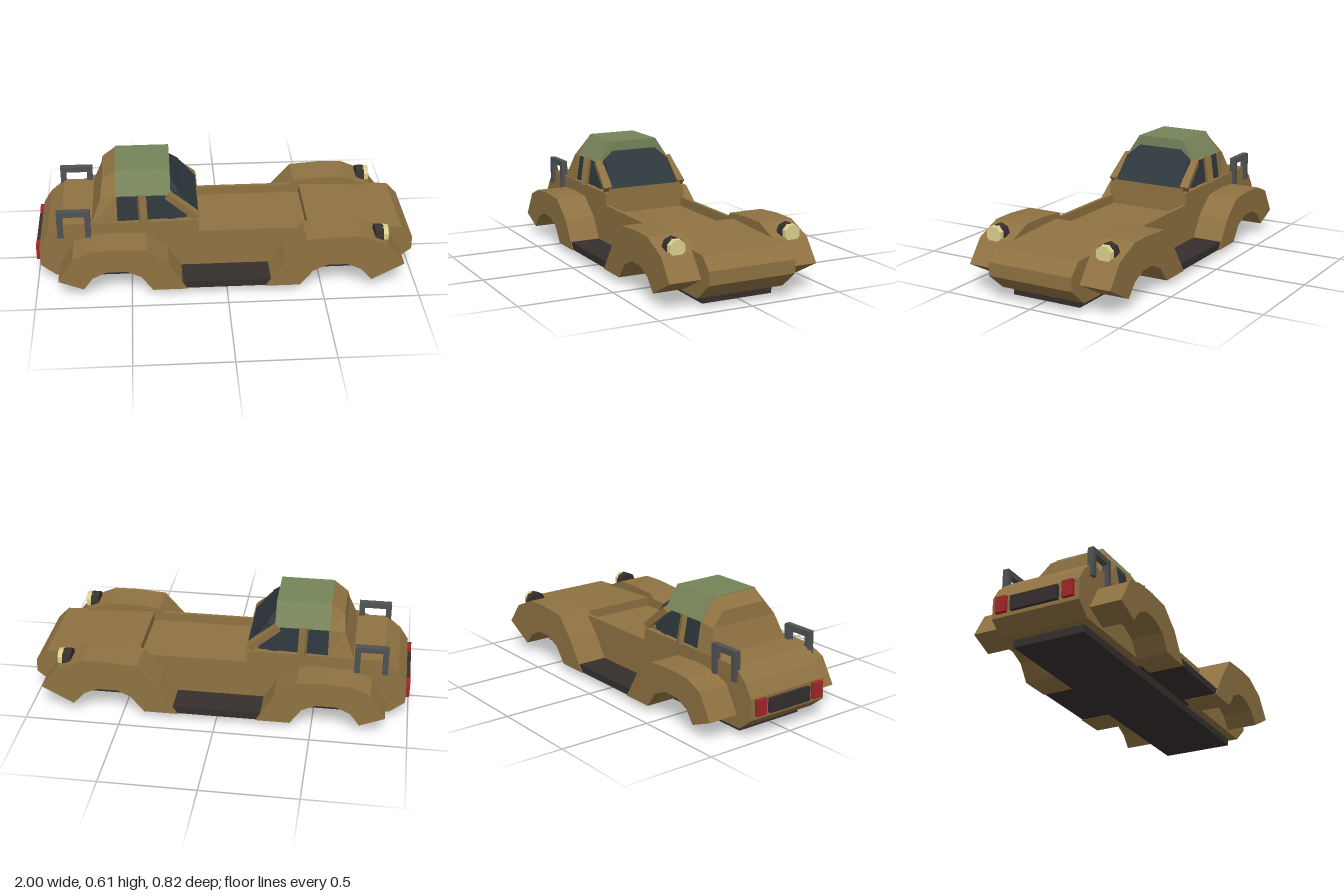
import * as THREE from 'three';

const mat = (color) => new THREE.MeshStandardMaterial({ color, flatShading: true });
const paint = mat(0x8f7242), green = mat(0x76845a), glass = mat(0x2e383d);
const dark = mat(0x352f2e), grey = mat(0x505152), red = mat(0xa3262a), cream = mat(0xdcd08e);

export function createModel() {
  const car = new THREE.Group();
  car.name = 'car';

  const add = (name, geometry, material) => {
    const mesh = new THREE.Mesh(geometry, material);
    mesh.name = name;
    car.add(mesh);
    return mesh;
  };

  // Box given by its limits on each axis
  const box = (name, [x0, x1], [y0, y1], [z0, z1], material) => add(name,
    new THREE.BoxGeometry(x1 - x0, y1 - y0, z1 - z0)
      .translate((x0 + x1) / 2, (y0 + y1) / 2, (z0 + z1) / 2), material);

  // Side profile extruded across the car from z0 to z1
  const slab = (name, profile, z0, z1, material) => {
    const shape = new THREE.Shape(profile.map(([x, y]) => new THREE.Vector2(x, y)));
    const g = new THREE.ExtrudeGeometry(shape, { depth: z1 - z0, bevelEnabled: false });
    return add(name, g.translate(0, 0, z0), material);
  };

  // Mirrored solid between a rear and a front half section, points [x, y, half width] from bottom to top
  const loft = (name, rear, front, material) => {
    const ring = (s) => [...s, ...s.slice().reverse().map(([x, y, z]) => [x, y, -z])];
    const a = ring(rear), b = ring(front), n = a.length, pos = [];
    const quad = (p, q, r, s) => pos.push(...p, ...q, ...r, ...p, ...r, ...s);
    for (let i = 0; i < n; i++) {
      const j = (i + 1) % n;
      quad(a[i], b[i], b[j], a[j]);
    }
    for (let i = 0; i < rear.length - 1; i++) {
      const k = n - 1 - i;
      quad(a[i], a[i + 1], a[k - 1], a[k]);
      quad(b[k], b[k - 1], b[i + 1], b[i]);
    }
    const g = new THREE.BufferGeometry();
    g.setAttribute('position', new THREE.Float32BufferAttribute(pos, 3));
    g.computeVertexNormals();
    return add(name, g, material);
  };

  // Straight bar between two points, with a rectangular section
  const bar = (name, from, to, w, d, material) => {
    const a = new THREE.Vector3(...from), b = new THREE.Vector3(...to);
    const mesh = add(name, new THREE.BoxGeometry(w, a.distanceTo(b), d), material);
    mesh.position.copy(a).lerp(b, 0.5);
    mesh.quaternion.setFromUnitVectors(new THREE.Vector3(0, 1, 0), b.sub(a).normalize());
  };

  // Body: core with a sunken deck, and side walls that form its rim
  const bodyProfile = (deck) => [
    [-0.9, 0.04], [0.89, 0.04], [1, 0.13], [1, 0.2], [0.94, 0.262], [0.44, 0.285], [0.44, deck],
    [-0.14, deck], [-0.14, 0.35], [-0.86, 0.35], [-0.935, 0.285], [-0.98, 0.215], [-0.98, 0.105],
  ];
  slab('body', bodyProfile(0.235), -0.22, 0.22, paint);
  for (const [z0, z1] of [[0.22, 0.24], [-0.24, -0.22]]) {
    slab('bodySide', bodyProfile(0.284), z0, z1, paint);
  }
  box('chassisPlate', [-0.85, 0.86], [0, 0.042], [-0.195, 0.195], dark);

  // Fenders with faceted wheel arches
  const rearFender = [
    [-0.88, 0.105], [-0.75, 0.053], [-0.7, 0.12], [-0.62, 0.156], [-0.53, 0.156], [-0.45, 0.12],
    [-0.39, 0.035], [-0.21, 0.035], [-0.305, 0.19], [-0.42, 0.28], [-0.56, 0.288], [-0.7, 0.28], [-0.8, 0.24],
  ];
  const frontFender = [
    [0.2, 0.035], [0.38, 0.035], [0.45, 0.12], [0.53, 0.156], [0.62, 0.156], [0.7, 0.12], [0.76, 0.053],
    [0.93, 0.143], [0.84, 0.26], [0.7, 0.32], [0.57, 0.322], [0.41, 0.31], [0.305, 0.19],
  ];

  for (const s of [1, -1]) {
    const span = (a, b) => (s > 0 ? [a, b] : [-b, -a]);
    slab('rearFender', rearFender, ...span(0.22, 0.41), paint);
    slab('frontFender', frontFender, ...span(0.22, 0.41), paint);
    box('runningBoard', [-0.3, 0.28], [0.037, 0.076], span(0.2, 0.405), dark);

    // Window posts
    bar('windshieldPost', [-0.3, 0.49, s * 0.208], [-0.15, 0.367, s * 0.222], 0.035, 0.045, paint);
    bar('doorPost', [-0.435, 0.495, s * 0.212], [-0.43, 0.345, s * 0.235], 0.04, 0.025, paint);

    // Grab frame beside the tail
    for (const x of [-0.88, -0.735]) box('grabFramePost', [x, x + 0.03], [0.275, 0.43], span(0.225, 0.258), grey);
    box('grabFrameRail', [-0.85, -0.735], [0.4, 0.43], span(0.225, 0.258), grey);

    // Headlight pod and lens
    const pod = add('headlightPod', new THREE.CylinderGeometry(0.052, 0.052, 0.045, 8), dark);
    pod.rotation.z = -Math.PI / 2;
    pod.position.set(0.797, 0.282, s * 0.322);
    const lens = add('headlightLens', new THREE.CylinderGeometry(0.045, 0.047, 0.03, 8), cream);
    lens.rotation.set(Math.PI / 8, 0, -Math.PI / 2);
    lens.position.set(0.83, 0.285, s * 0.322);

    box('tailLight', [-1, -0.975], [0.125, 0.21], span(0.155, 0.215), red);
  }
  box('tailPanel', [-1, -0.975], [0.125, 0.2], [-0.13, 0.13], dark);

  // Cab: rear shell, roof and glazing
  loft('cabRear',
    [[-0.7, 0.345, 0.235], [-0.65, 0.475, 0.2], [-0.64, 0.55, 0.13]],
    [[-0.565, 0.345, 0.235], [-0.565, 0.49, 0.212], [-0.565, 0.605, 0.135]], paint);
  loft('roof',
    [[-0.57, 0.49, 0.213], [-0.57, 0.605, 0.136]],
    [[-0.285, 0.49, 0.213], [-0.285, 0.605, 0.136]], green);
  loft('windows',
    [[-0.566, 0.345, 0.226], [-0.566, 0.495, 0.203], [-0.566, 0.552, 0.13]],
    [[-0.14, 0.345, 0.205], [-0.14, 0.372, 0.2], [-0.28, 0.552, 0.13]].map(
      (p, i) => (i === 1 ? [-0.238, 0.495, 0.19] : p)), glass);
  loft('windshield',
    [[-0.3, 0.345, 0.222], [-0.3, 0.495, 0.2], [-0.3, 0.55, 0.13]],
    [[-0.139, 0.37, 0.203], [-0.24, 0.495, 0.19], [-0.284, 0.55, 0.13]], glass);
  box('windshieldSill', [-0.2, -0.135], [0.345, 0.372], [-0.215, 0.215], paint);

  return car;
}
